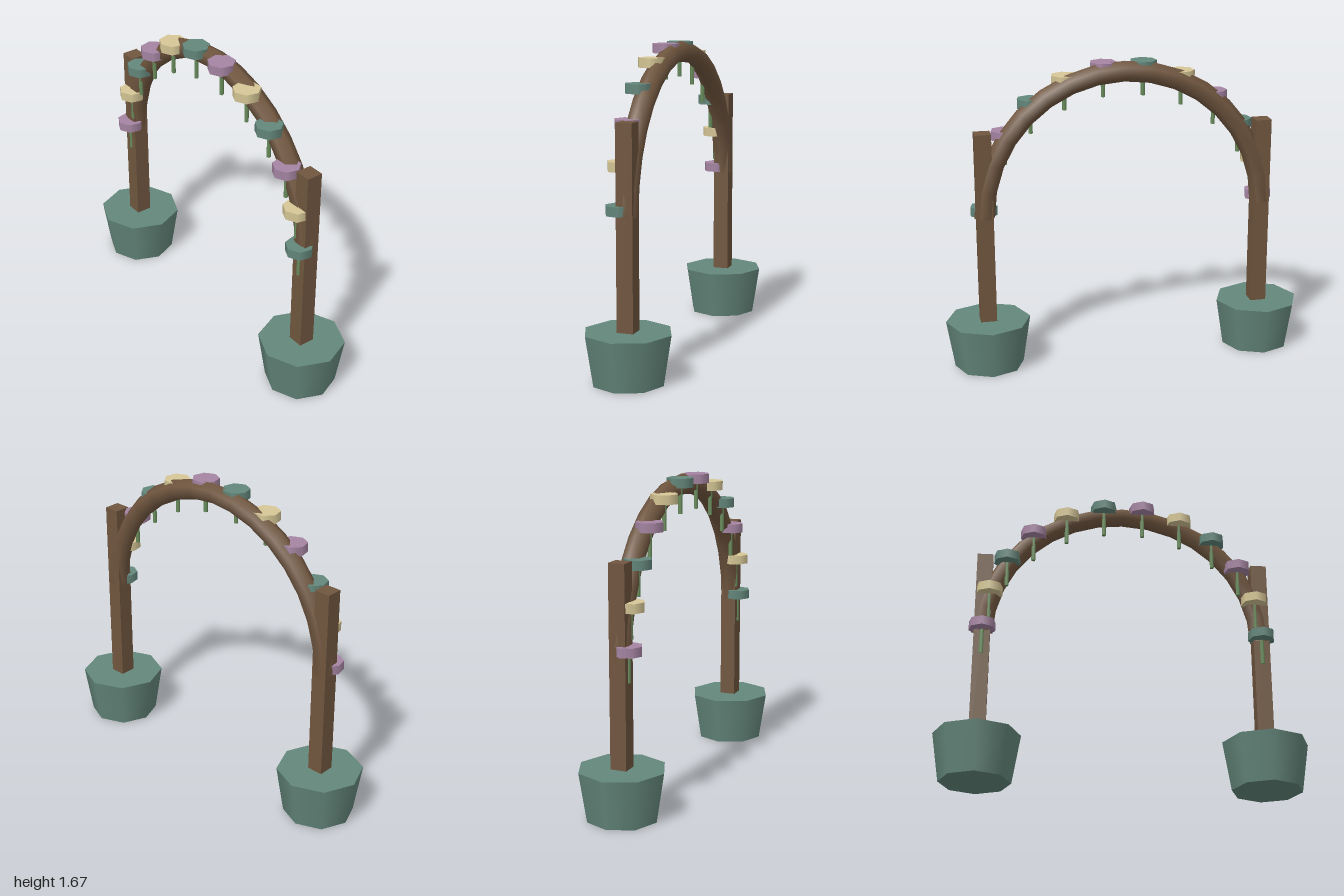
import * as THREE from 'three';

const material = (color) => new THREE.MeshStandardMaterial({ color });

export function createModel() {
  const model = new THREE.Group();
  model.name = 'flowerArch';

  const wood = material(0x70563f);
  const green = material(0x64877b);
  const stemGreen = material(0x6b8f5e);
  const petals = [green, material(0xd6c796), material(0xa685a3)];

  const add = (name, geometry, mat, x, y, z) => {
    const mesh = new THREE.Mesh(geometry, mat);
    mesh.name = name;
    mesh.position.set(x, y, z);
    model.add(mesh);
    return mesh;
  };

  const span = 0.767; // arch radius and post offset
  const spring = 0.85; // height where the arch begins

  // Pots and posts
  const potGeo = new THREE.CylinderGeometry(0.232, 0.19, 0.265, 8);
  const postGeo = new THREE.BoxGeometry(0.088, 1.19, 0.088);
  for (const [side, s] of [['left', 1], ['right', -1]]) {
    add(side + 'Pot', potGeo, green, s * span, 0.1325, 0);
    add(side + 'Post', postGeo, wood, s * span, 0.725, 0);
  }

  // Half-round beam joining the posts
  add('arch', new THREE.TorusGeometry(span, 0.056, 6, 16, Math.PI), wood, 0, spring, 0);

  // Flowers along the front of the arch, each with a hanging stem
  const count = 12;
  const flowerGeo = new THREE.CylinderGeometry(0.074, 0.074, 0.05, 7);
  const stemGeo = new THREE.CylinderGeometry(0.012, 0.012, 0.16, 5);
  for (let i = 0; i < count; i++) {
    const angle = (Math.PI * i) / (count - 1);
    const x = span * Math.cos(angle);
    const y = spring + span * Math.sin(angle) + 0.031;
    add('flower' + (i + 1), flowerGeo, petals[i % 3], x, y, 0.042);
    add('stem' + (i + 1), stemGeo, stemGreen, x, y - 0.087, 0.042);
  }

  return model;
}
